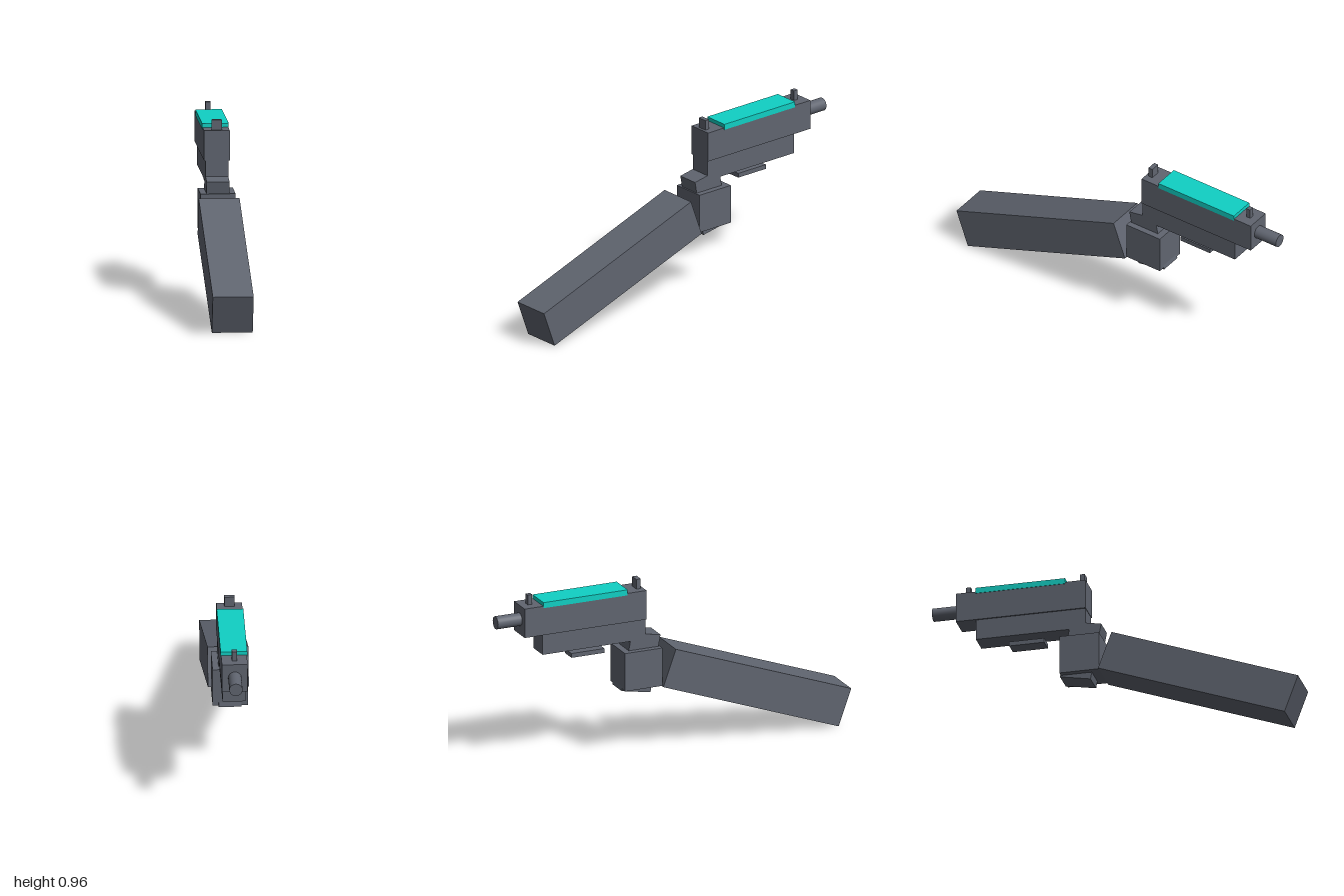
import * as THREE from 'three';

export function createModel() {
  const model = new THREE.Group();
  const gunmetal = new THREE.MeshStandardMaterial({ name: 'gunmetal grey', color: 0x606570 });
  const teal = new THREE.MeshStandardMaterial({ name: 'teal', color: 0x10d0c4 });

  // Box given by its width and its y and z ranges
  function block(name, width, [y0, y1], [z0, z1], material = gunmetal) {
    const mesh = new THREE.Mesh(new THREE.BoxGeometry(width, y1 - y0, z1 - z0), material);
    mesh.name = name;
    mesh.position.set(0, (y0 + y1) / 2, (z0 + z1) / 2);
    model.add(mesh);
    return mesh;
  }

  // Box pitched about x around its centre
  function tilted(name, size, y, z, degrees) {
    const mesh = new THREE.Mesh(new THREE.BoxGeometry(...size), gunmetal);
    mesh.name = name;
    mesh.position.set(0, y, z);
    mesh.rotation.x = THREE.MathUtils.degToRad(degrees);
    model.add(mesh);
    return mesh;
  }

  // Arm, hand and grip
  tilted('forearm', [0.215, 0.213, 1.075], 0.287, 0.46, 20);
  block('hand', 0.185, [0.373, 0.584], [-0.295, -0.08]);
  tilted('grip', [0.12, 0.318, 0.168], 0.5065, -0.188, 10.5);

  // Body
  block('frame', 0.12, [0.635, 0.75], [-0.755, -0.162]);
  block('slide', 0.135, [0.747, 0.908], [-0.862, -0.16]);
  block('topPanel', 0.14, [0.898, 0.929], [-0.755, -0.27], teal);
  block('triggerGuard', 0.08, [0.586, 0.61], [-0.58, -0.39]);

  // Sights
  block('rearSight', 0.053, [0.9, 0.962], [-0.2, -0.175]);
  block('frontSight', 0.027, [0.9, 0.962], [-0.82, -0.795]);

  // Barrel
  const barrel = new THREE.Mesh(new THREE.CylinderGeometry(0.035, 0.035, 0.2, 24), gunmetal);
  barrel.name = 'barrel';
  barrel.rotation.x = Math.PI / 2;
  barrel.position.set(0, 0.83, -0.9);
  model.add(barrel);

  return model;
}
